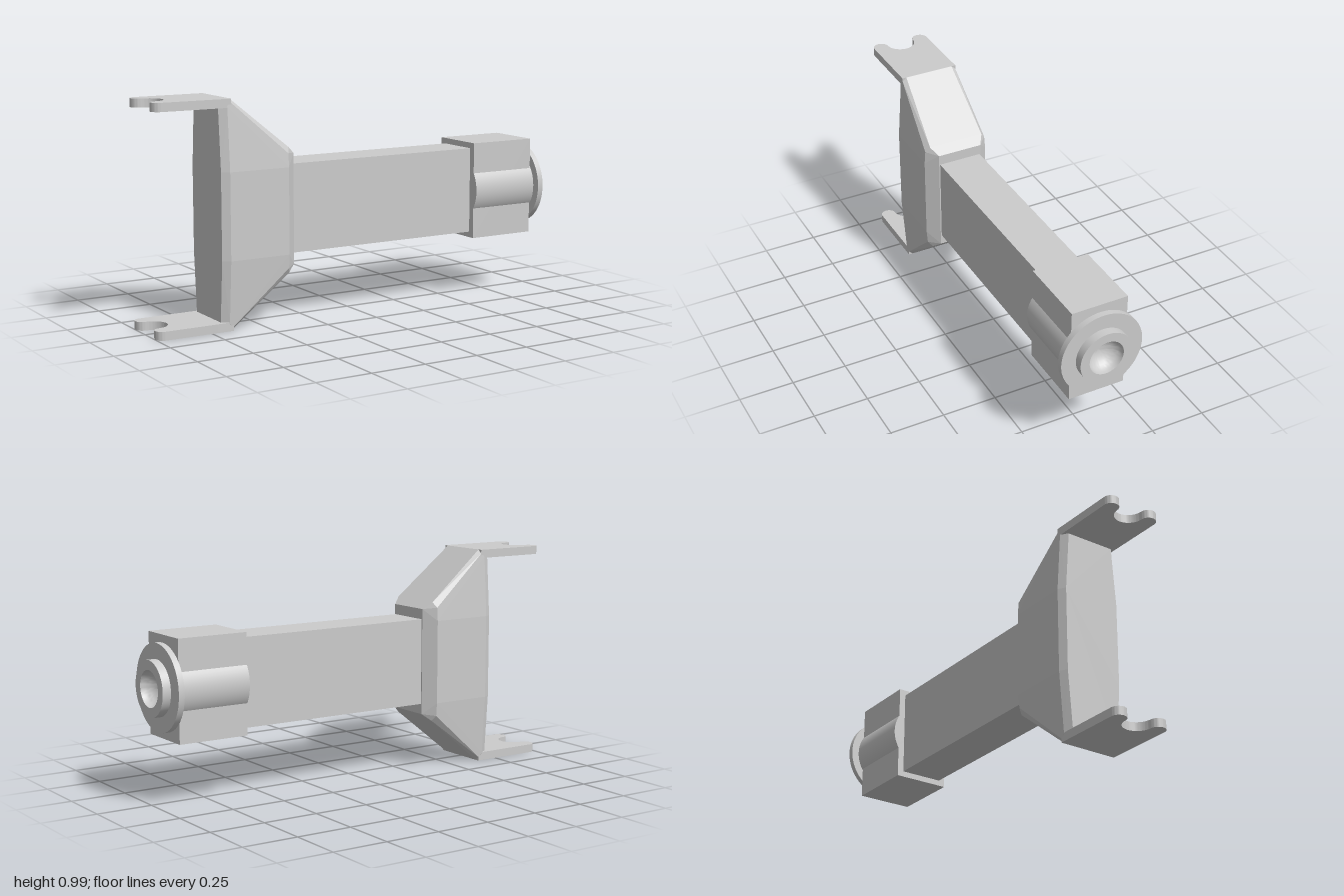
import * as THREE from 'three';
import { toCreasedNormals } from 'three/addons/utils/BufferGeometryUtils.js';
import { ConvexGeometry } from 'three/addons/geometries/ConvexGeometry.js';

const MID = 0.497; // height of the long axis

export function createModel() {
  const group = new THREE.Group();
  const material = new THREE.MeshStandardMaterial({ color: 0xcccccc });

  const add = (name, geometry, x = 0, y = 0) => {
    const mesh = new THREE.Mesh(geometry, material);
    mesh.name = name;
    mesh.position.set(x, y, 0);
    group.add(mesh);
    return mesh;
  };
  const bar = (name, x0, x1, height, depth) =>
    add(name, new THREE.BoxGeometry(x1 - x0, height, depth), (x0 + x1) / 2, MID);

  // Fork arms: flat plates with an open slot between two rounded tips
  const plate = new THREE.Shape();
  plate.moveTo(-0.648, -0.135);
  plate.lineTo(-0.648, 0.135);
  plate.lineTo(-0.965, 0.135);
  plate.absarc(-0.965, 0.1, 0.035, Math.PI / 2, Math.PI * 1.5, false);
  plate.absarc(-0.965, 0, 0.065, Math.PI / 2, -Math.PI / 2, true);
  plate.absarc(-0.965, -0.1, 0.035, Math.PI / 2, Math.PI * 1.5, false);
  plate.lineTo(-0.648, -0.135);
  const thickness = 0.038;
  const armGeometry = toCreasedNormals(
    new THREE.ExtrudeGeometry(plate, { depth: thickness, bevelEnabled: false, curveSegments: 20 })
      .rotateX(Math.PI / 2), 0.6);
  add('upperForkArm', armGeometry, 0, MID * 2);
  add('lowerForkArm', armGeometry, 0, thickness);

  // Yoke: chamfered solid, one quarter listed as (x, height from axis, z) and mirrored
  const corners = [
    [-0.7, 0.458, 0.115], [-0.7, 0.19, 0.135],     // back face
    [-0.667, 0.462, 0.136], [-0.667, 0.19, 0.155], // back chamfer
    [-0.648, 0.497, 0.115], [-0.655, 0.485, 0.134], // top of the slope
    [-0.385, 0.25, 0.15], [-0.385, 0.19, 0.155],   // front edge of the cheeks
    [-0.373, 0.274, 0.13], [-0.335, 0.243, 0.105], // foot of the slope
  ];
  const points = [];
  for (const [x, y, z] of corners)
    for (const sy of [1, -1])
      for (const sz of [1, -1]) points.push(new THREE.Vector3(x, y * sy, z * sz));
  add('yoke', new ConvexGeometry(points), 0, MID);

  // Beam and end block
  bar('beam', -0.34, 0.61, 0.392, 0.2);
  bar('endBlock', 0.605, 0.93, 0.444, 0.26);

  // Turned part: barrel through the block, flange, boss and dished socket
  const profile = [
    [0, 0.605], [0.154, 0.605], [0.154, 0.935], [0.19, 0.935],
    [0.19, 0.962], [0.122, 0.962], [0.122, 1], [0.08, 1],
  ].map(([r, x]) => new THREE.Vector2(r, x));
  for (let i = 1; i <= 10; i++) {
    const a = (i / 10) * Math.PI / 2;
    profile.push(new THREE.Vector2(i === 10 ? 0 : 0.08 * Math.cos(a), 1 - 0.068 * Math.sin(a)));
  }
  const turned = toCreasedNormals(new THREE.LatheGeometry(profile, 64), 0.6);
  add('barrelAndFlange', turned.rotateZ(-Math.PI / 2), 0, MID);

  return group;
}
